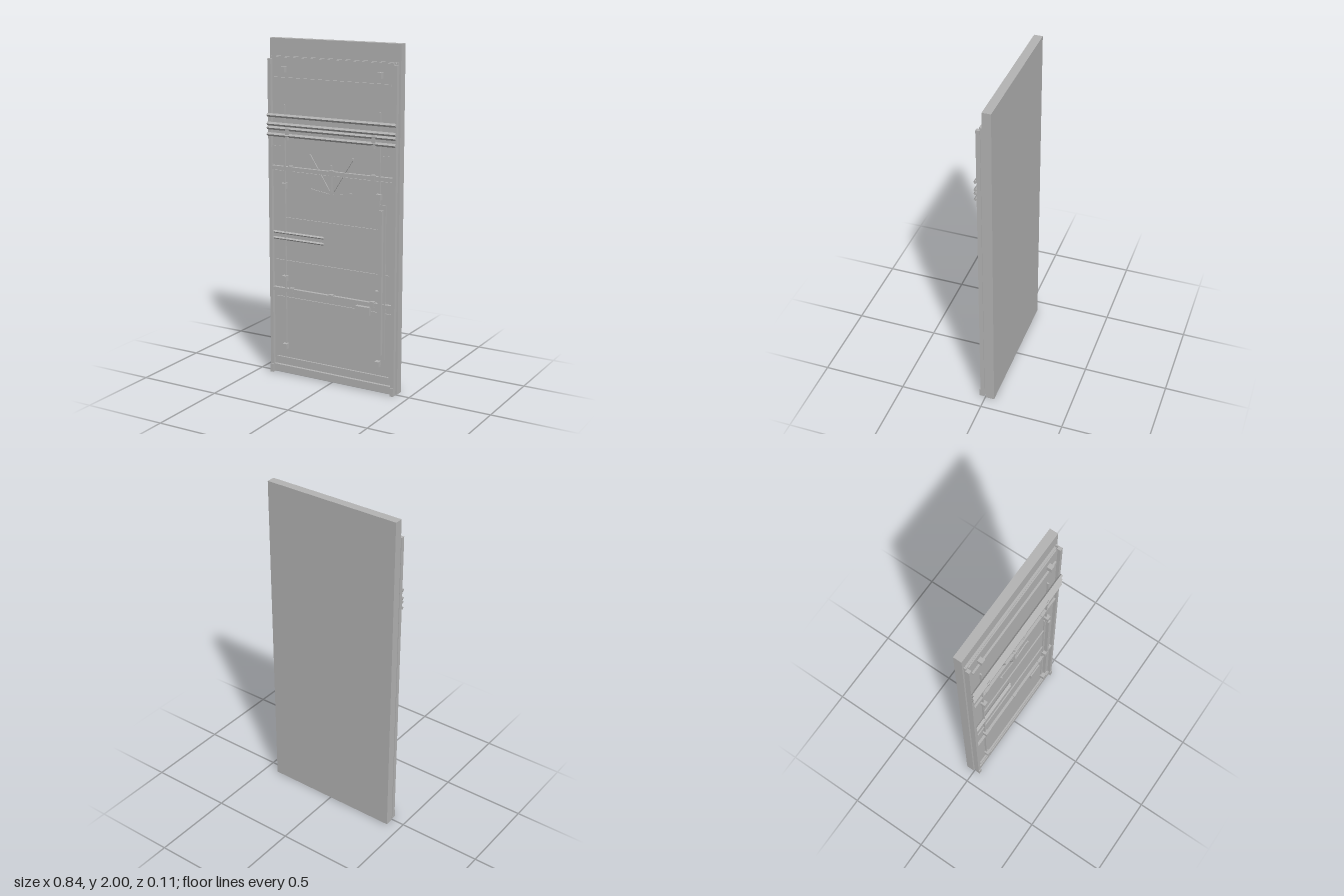
import * as THREE from 'three';

export function createModel() {
  const group = new THREE.Group();
  group.name = 'doorPanel';
  const grey = new THREE.MeshStandardMaterial({ color: 0xb4b4b4 });
  grey.name = 'plain grey';

  const add = (name, geometry) => {
    const mesh = new THREE.Mesh(geometry, grey);
    mesh.name = name;
    group.add(mesh);
    return mesh;
  };
  // Box given by its limits on each axis
  const box = (name, x0, x1, y0, y1, z0, z1) => {
    const mesh = add(name, new THREE.BoxGeometry(x1 - x0, y1 - y0, z1 - z0));
    mesh.position.set((x0 + x1) / 2, (y0 + y1) / 2, (z0 + z1) / 2);
    return mesh;
  };
  // Plate with small rounded corners, lying in the xy plane
  const plate = (name, w, y0, y1, z0, z1, r = 0.012) => {
    const s = new THREE.Shape();
    s.moveTo(-w + r, y0);
    s.lineTo(w - r, y0);
    s.quadraticCurveTo(w, y0, w, y0 + r);
    s.lineTo(w, y1 - r);
    s.quadraticCurveTo(w, y1, w - r, y1);
    s.lineTo(-w + r, y1);
    s.quadraticCurveTo(-w, y1, -w, y1 - r);
    s.lineTo(-w, y0 + r);
    s.quadraticCurveTo(-w, y0, -w + r, y0);
    const g = new THREE.ExtrudeGeometry(s, { depth: z1 - z0, bevelEnabled: false, curveSegments: 3 });
    add(name, g).position.z = z0;
  };
  // Horizontal bar with a diamond section
  const diamondBar = (name, x0, x1, y, z, ry, rz) => {
    const s = new THREE.Shape();
    s.moveTo(-rz, 0);
    s.lineTo(0, -ry);
    s.lineTo(rz, 0);
    s.lineTo(0, ry);
    const g = new THREE.ExtrudeGeometry(s, { depth: x1 - x0, bevelEnabled: false });
    g.rotateY(Math.PI / 2);
    add(name, g).position.set(x0, y, z);
  };
  // Thin square rod between two points of the panel face
  const rod = (name, xa, ya, xb, yb, z, t) => {
    const g = new THREE.BoxGeometry(Math.hypot(xb - xa, yb - ya), t, t);
    const mesh = add(name, g);
    mesh.position.set((xa + xb) / 2, (ya + yb) / 2, z);
    mesh.rotation.z = Math.atan2(yb - ya, xb - xa);
  };

  // Back slab and raised panels
  box('backSlab', -0.42, 0.42, 0, 2, -0.055, -0.005);
  plate('basePanel', 0.4, 0.01, 1.9, -0.005, 0.008);
  plate('upperPanel', 0.392, 1.28, 1.895, 0.008, 0.015);
  plate('middlePanel', 0.392, 0.55, 1.24, 0.008, 0.015);
  plate('lowerPanel', 0.392, 0.06, 0.48, 0.008, 0.015);

  // Frame posts, feet, and bottom rail
  for (const side of [-1, 1]) {
    const x = side * 0.405;
    box('sidePost', x - 0.01, x + 0.01, 0, 1.885, 0.008, 0.032);
    box('postFoot', x - 0.01, x + 0.01, 0, 0.05, 0.008, 0.038);
    box('postBacking', x - 0.004, x + 0.004, 0.01, 1.9, -0.005, 0.01);
    // Mounting blocks
    for (const y of [0.178, 0.598, 1.155, 1.828])
      box('mountingBlock', side * 0.31 - 0.014, side * 0.31 + 0.014, y - 0.017, y + 0.017, 0.008, 0.045);
    // Slim vertical rods, the lower right one replaced by the channel
    const xr = side * 0.31;
    box('verticalRod', xr - 0.004, xr + 0.004, side < 0 ? 0.19 : 1.1, 1.625, 0.015, 0.027);
    // Rail hooks
    box('railHook', side * 0.28 - 0.012, side * 0.28 + 0.012, 1.44, 1.5, 0.015, 0.045);
    box('railHookTip', side * 0.28 - 0.006, side * 0.28 + 0.006, 1.425, 1.445, 0.03, 0.05);
    box('sideStep', x - side * 0.05 - 0.042, x - side * 0.05 + 0.042, 1.28, 1.385, 0.013, 0.019);
  }
  box('bottomRail', -0.4, 0.4, 0.008, 0.052, -0.005, 0.025);

  // Cross rails with small clamps
  for (const y of [1.257, 0.525]) {
    box('crossRail', -0.4, 0.4, y - 0.011, y + 0.011, 0.008, 0.028);
    for (const x of [-0.27, 0, 0.27])
      box('railClamp', x - 0.013, x + 0.013, y - 0.017, y + 0.017, 0.008, 0.031);
  }
  for (const y of [1.775, 0.098])
    box('slimShelf', -0.375, 0.375, y - 0.007, y + 0.007, 0.012, 0.026);

  // Projecting rails
  for (const y of [1.563, 1.513, 1.49, 1.452])
    diamondBar('handRail', -0.415, 0.415, y, 0.039, 0.011, 0.01);

  // Paired short bars and fine lines
  for (const y of [0.873, 0.837])
    diamondBar('shortBar', -0.39, -0.05, y, 0.022, 0.008, 0.009);
  box('fineLine', -0.375, 0.375, 0.701, 0.707, 0.013, 0.022);
  box('upperFineLine', -0.31, 0.305, 0.959, 0.966, 0.013, 0.022);

  // Vertical channel and inner bar
  box('channelBack', 0.3, 0.35, 0.205, 1.11, 0.01, 0.022);
  box('channelBar', 0.316, 0.336, 0.235, 1.08, 0.02, 0.042);

  // Small plaque
  box('smallBox', 0.165, 0.255, 0.457, 0.505, 0.01, 0.034);

  // Fan of thin spokes with end pegs
  for (const [x, y] of [[-0.14, 1.35], [0, 1.3], [0.14, 1.35], [-0.13, 1.15], [0.13, 1.15]]) {
    rod('spoke', x * 0.1, 1.13 + (y - 1.13) * 0.1, x, y, 0.018, 0.006);
    box('spokePeg', x - 0.004, x + 0.004, y - 0.004, y + 0.004, 0.013, 0.028);
  }
  return group;
}
